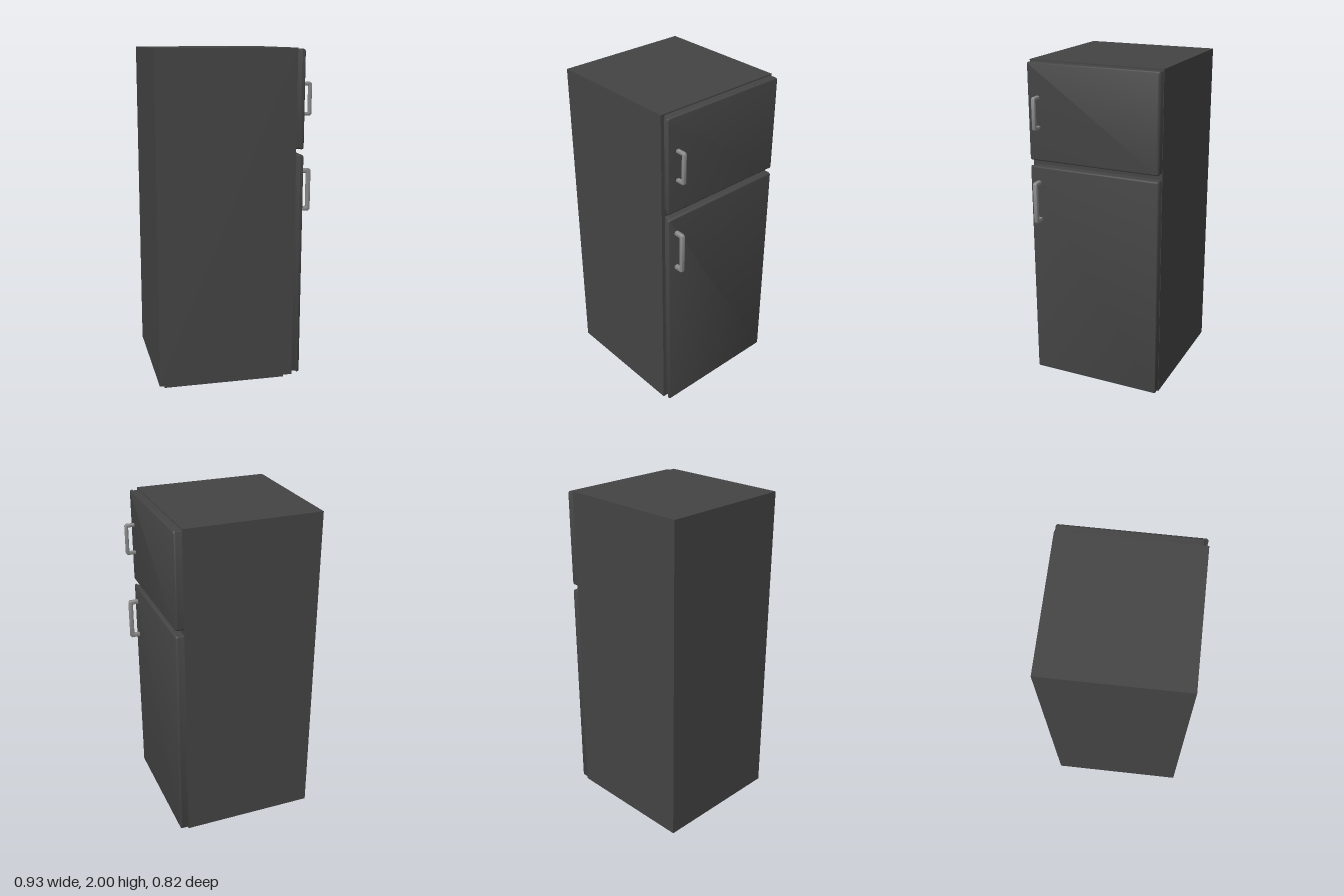
import * as THREE from 'three';
import { toCreasedNormals } from 'three/addons/utils/BufferGeometryUtils.js';

const shell = new THREE.MeshStandardMaterial({ color: 0x444444 });
const metal = new THREE.MeshStandardMaterial({ color: 0x888888 });

// Box given by its extents
function block(name, x0, x1, y0, y1, z0, z1) {
  const mesh = new THREE.Mesh(new THREE.BoxGeometry(x1 - x0, y1 - y0, z1 - z0), shell);
  mesh.position.set((x0 + x1) / 2, (y0 + y1) / 2, (z0 + z1) / 2);
  mesh.name = name;
  return mesh;
}

// Rounded rectangle in the zy plane, counter-clockwise seen from +x
function section(x, y0, y1, z0, z1, inset) {
  const r = 0.012 - inset * 0.6, points = [];
  const corners = [[-z0 - inset, y0 + inset, -1, 1], [-z0 - inset, y1 - inset, -1, -1],
    [-z1 + inset, y1 - inset, 1, -1], [-z1 + inset, y0 + inset, 1, 1]];
  corners.forEach(([u, y, su, sy], i) => {
    for (let k = 0; k <= 4; k++) {
      const a = (i - 1 + k / 4) * Math.PI / 2;
      points.push([x, y + sy * r + r * Math.sin(a), -(u + su * r + r * Math.cos(a))]);
    }
  });
  return points;
}

// Door slab with a wider rounded front and a grip recess on its opening side
function door(name, y0, y1) {
  const rows = [[0.353, 0, 0.388], [0.388, 0, 0.388], [0.388, 0, 0.404], [0.392, 0, 0.404]];
  for (let k = 1; k <= 4; k++) {
    const a = k * Math.PI / 8;
    rows.push([0.392 + 0.011 * Math.sin(a), 0.011 * (1 - Math.cos(a)), 0.404]);
  }
  const loops = rows.map(([x, inset, z1]) => section(x, y0, y1, -0.408, z1, inset));
  const n = loops[0].length, index = [];
  for (let i = 0; i < loops.length - 1; i++) {
    for (let j = 0; j < n; j++) {
      const a = i * n + j, b = i * n + (j + 1) % n;
      index.push(a, b, b + n, a, b + n, a + n);
    }
  }
  const last = (loops.length - 1) * n;
  for (let j = 1; j < n - 1; j++) {
    index.push(last, last + j, last + j + 1, 0, j + 1, j);
  }
  const geometry = new THREE.BufferGeometry();
  geometry.setAttribute('position', new THREE.Float32BufferAttribute(loops.flat(2), 3));
  geometry.setIndex(index);
  const mesh = new THREE.Mesh(toCreasedNormals(geometry, 0.7), shell);
  mesh.name = name;
  return mesh;
}

// Bracket handle with softened edges
function handle(name, y0, y1, z, t, width) {
  const b = 0.007, c = 0.006, x0 = 0.395, x1 = 0.463 - b;
  const lo = y0 + b, hi = y1 - b, leg = t - 2 * b;
  const outline = [[x0, lo], [x1 - c, lo], [x1, lo + c], [x1, hi - c], [x1 - c, hi], [x0, hi],
    [x0, hi - leg], [x1 - leg, hi - leg], [x1 - leg, lo + leg], [x0, lo + leg]];
  const shape = new THREE.Shape(outline.map(([x, y]) => new THREE.Vector2(x, y)));
  const geometry = new THREE.ExtrudeGeometry(shape, {
    depth: width - 2 * b, bevelSize: b, bevelThickness: b, bevelSegments: 3,
  });
  geometry.translate(0, 0, z - width / 2 + b);
  const mesh = new THREE.Mesh(toCreasedNormals(geometry, 0.8), metal);
  mesh.name = name;
  return mesh;
}

export function createModel() {
  const group = new THREE.Group();
  group.name = 'refrigerator';
  group.add(
    block('cabinet', -0.465, 0.353, 0.03, 2, -0.41, 0.41),
    block('base', -0.43, 0.312, 0, 0.03, -0.37, 0.37),
    door('freezerDoor', 1.42, 1.993),
    door('fridgeDoor', 0.036, 1.387),
    handle('freezerHandle', 1.61, 1.805, 0.338, 0.021, 0.024),
    handle('fridgeHandle', 1.045, 1.3, 0.347, 0.026, 0.026),
  );
  return group;
}
